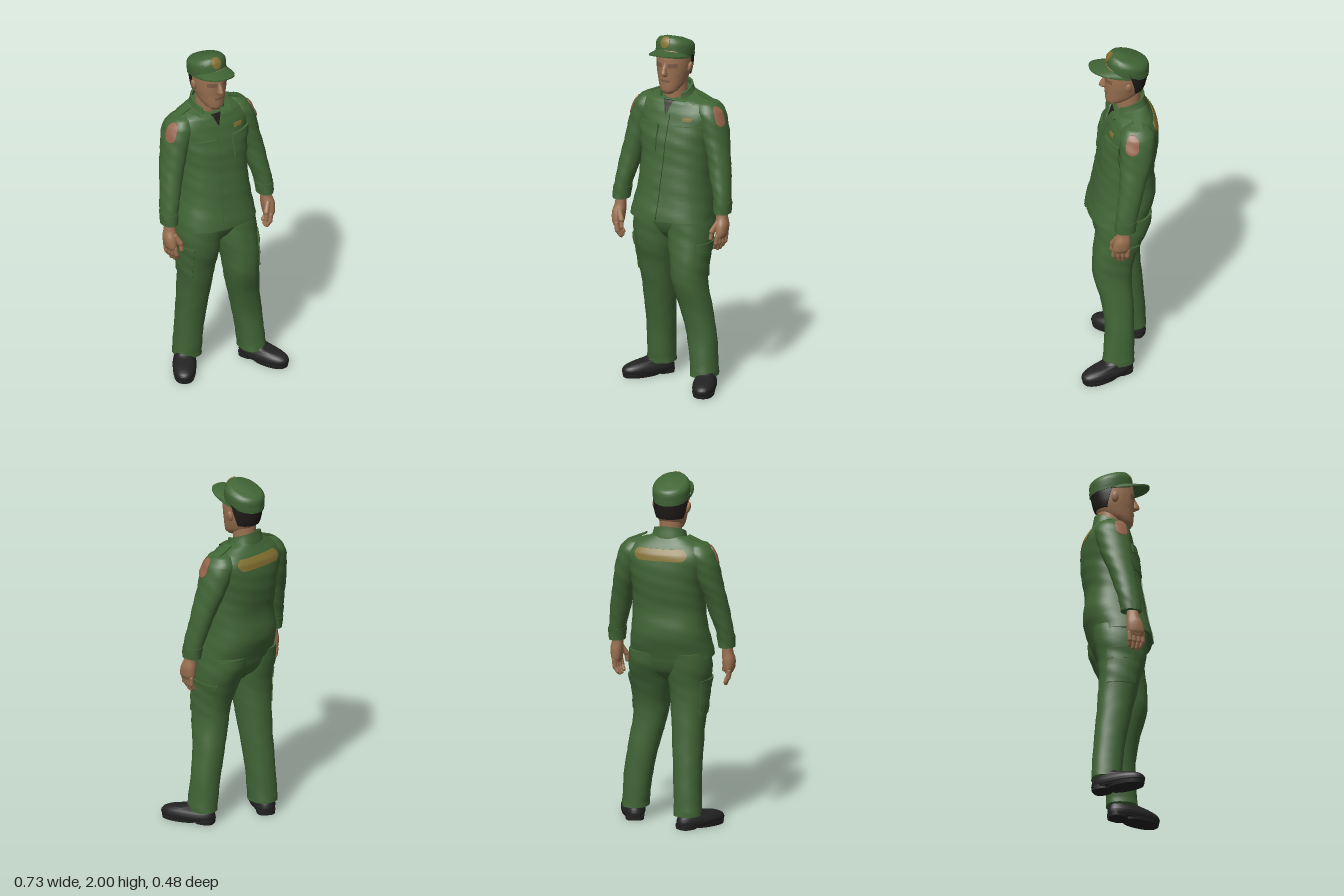
import * as THREE from 'three';
import { toCreasedNormals } from 'three/addons/utils/BufferGeometryUtils.js';

const mat = (name, color) => new THREE.MeshStandardMaterial({ name, color, side: THREE.DoubleSide });
const V = (x, y, z) => new THREE.Vector3(x, y, z);
const pow = (v, p) => Math.sign(v) * Math.abs(v) ** p;

// surface through rows of points; closed rows wrap round
function grid(rows, closed) {
  const n = rows[0].length, pos = [], idx = [];
  rows.forEach(r => r.forEach(p => pos.push(p.x, p.y, p.z)));
  for (let j = 0; j < rows.length - 1; j++)
    for (let i = 0; i < (closed ? n : n - 1); i++) {
      const a = j * n + i, b = j * n + (i + 1) % n;
      idx.push(a, b, b + n, a, b + n, a + n);
    }
  const g = new THREE.BufferGeometry();
  g.setAttribute('position', new THREE.Float32BufferAttribute(pos, 3));
  g.setIndex(idx);
  return toCreasedNormals(g, 0.9);
}

// body: rings of [y, cx, cz, rx, rz, tilt], p = squareness, w = fold depth
const body = (rings, p = 0.85, w = 0) => ({ rings, p, w });

// ring values at height y, smoothly interpolated
function ringAt({ rings }, y) {
  let i = 0;
  while (i < rings.length - 2 && y > rings[i + 1][0]) i++;
  const R = k => rings[Math.min(rings.length - 1, Math.max(0, k))];
  const t = (y - R(i)[0]) / (R(i + 1)[0] - R(i)[0]);
  return [1, 2, 3, 4, 5].map(c => {
    const [a, b, d, e] = [i - 1, i, i + 1, i + 2].map(k => R(k)[c] || 0);
    return b + 0.5 * t * (d - a + t * (2 * a - 5 * b + 4 * d - e + t * (3 * (b - d) + e - a)));
  });
}

// point on a body at height y and angle a (0 = front, +90 degrees = left)
function point(b, y, a, off = 0, k = 1) {
  const [cx, cz, rx, rz, tilt] = ringAt(b, y);
  const f = k * (1 + b.w * Math.sin(3 * a + y * 55) * Math.sin(y * 23 + a));
  const z = pow(Math.cos(a), b.p) * (rz * f + off);
  return V(cx + pow(Math.sin(a), b.p) * (rx * f + off), y + tilt * z, cz + z);
}

function loft(b, seg = 36, steps = 5) {
  const ys = [b.rings[0][0]];
  b.rings.slice(1).forEach((r, i) => {
    for (let s = 1; s <= steps; s++) ys.push(THREE.MathUtils.lerp(b.rings[i][0], r[0], s / steps));
  });
  const row = (y, k) => Array.from({ length: seg }, (_, i) => point(b, y, i / seg * Math.PI * 2, 0, k));
  return grid([row(ys[0], 0), ...ys.map(y => row(y, 1)), row(ys[ys.length - 1], 0)], true);
}

// raised pad following a body between angles lo(v), hi(v) and heights y0, y1
function pad(b, lo, hi, y0, y1, off, n = 16) {
  const get = (f, v, y) => typeof f === 'function' ? f(v, y) : f, rows = [];
  for (let j = -1; j <= n + 1; j++) {
    const v = Math.min(n, Math.max(0, j)) / n, y = y0 + (y1 - y0) * v, row = [];
    for (let i = -1; i <= n + 1; i++) {
      const u = Math.min(n, Math.max(0, i)) / n;
      const edge = i < 0 || j < 0 || i > n || j > n;
      row.push(point(b, y, THREE.MathUtils.lerp(get(lo, v, y), get(hi, v, y), u), edge ? -0.003 : off));
    }
    rows.push(row);
  }
  return grid(rows, false);
}

// angle at which the front (or back) of a body has a given x
const atX = (b, fx, back) => (v, y) => {
  const [cx, , rx] = ringAt(b, y), x = typeof fx === 'function' ? fx(v) : fx;
  const a = Math.asin(pow(THREE.MathUtils.clamp((x - cx) / rx, -1, 1), 1 / b.p));
  return back ? Math.PI - a : a;
};

export function createModel() {
  const model = new THREE.Group();
  const green = mat('uniform green', 0x416536), skin = mat('skin', 0x9a7151), black = mat('shoe black', 0x232324),
    hairMat = mat('hair', 0x1f1b19), gold = mat('gold', 0x847131), badge = mat('sleeve badge', 0x94644b),
    shade = mat('face shade', 0x7c5c46);
  const add = (name, geo, m, parent = model) => {
    const mesh = new THREE.Mesh(geo, m);
    mesh.name = name;
    parent.add(mesh);
    return mesh;
  };
  const capsule = (name, a, b, r, m) => {
    const mesh = add(name, new THREE.CapsuleGeometry(r, a.distanceTo(b), 5, 10), m);
    mesh.position.copy(a).lerp(b, 0.5);
    mesh.quaternion.setFromUnitVectors(V(0, 1, 0), b.clone().sub(a).normalize());
  };

  // jacket
  const jacket = body([
    [0.965, -0.007, -0.018, 0.236, 0.17], [1.1, -0.003, -0.051, 0.215, 0.177], [1.24, 0, -0.058, 0.202, 0.16],
    [1.34, 0, -0.072, 0.2, 0.158], [1.42, 0, -0.082, 0.207, 0.158], [1.5, 0, -0.094, 0.224, 0.148],
    [1.57, 0, -0.1, 0.236, 0.13], [1.62, -0.005, -0.097, 0.195, 0.107], [1.645, -0.01, -0.092, 0.14, 0.092, -0.12],
    [1.66, -0.012, -0.09, 0.085, 0.078, -0.35]], 0.82, 0.012);
  add('jacket', loft(jacket, 64, 6), green);
  const F = x => atX(jacket, x), B = x => atX(jacket, x, true);
  add('placket', pad(jacket, F(v => -0.055 + 0.03 * v), F(v => -0.02 + 0.03 * v), 0.967, 1.56, 0.007, 40), green);
  for (const [x0, x1] of [[-0.175, -0.055], [0.06, 0.185]]) {
    add('chestPocket', pad(jacket, F(x0), F(x1), 1.35, 1.46, 0.008), green);
    add('pocketFlap', pad(jacket, F(x0 - 0.004), F(x1 + 0.004), 1.445, 1.5, 0.013), green);
  }
  add('chestBadge', pad(jacket, F(0.085), F(0.135), 1.53, 1.55, 0.005), gold);
  add('backStripe', pad(jacket, B(v => 0.13 + 0.025 * Math.sin(v * Math.PI)),
    B(v => -0.12 - 0.025 * Math.sin(v * Math.PI)), 1.54, 1.605, 0.004, 24), gold);

  // collar, lapels and undershirt
  add('undershirt', pad(jacket, F(v => -0.012 - 0.032 * v), F(v => -0.012 + 0.032 * v), 1.565, 1.64, 0.004), hairMat);
  const collar = body([[1.61, -0.012, -0.09, 0.102, 0.088, -0.4], [1.69, -0.014, -0.088, 0.08, 0.077, -0.4]]);
  add('collar', pad(collar, 0.75, Math.PI * 2 - 0.75, 1.615, 1.69, 0.007, 28), green);
  for (const s of [-1, 1]) {
    const inner = v => -0.012 + s * 0.035 * v;
    const outer = v => inner(v) + s * (0.012 + 0.055 * Math.min(1, v * 1.8));
    add('lapel', pad(jacket, F(s > 0 ? inner : outer), F(s > 0 ? outer : inner), 1.55, 1.652, 0.012), green);
  }

  // sleeves, hands and shoulder details
  for (const s of [-1, 1]) {
    const sleeve = body([
      [1.02, 0.317, -0.005, 0.042, 0.054], [1.1, 0.311, -0.015, 0.047, 0.06], [1.2, 0.29, -0.035, 0.056, 0.066],
      [1.32, 0.265, -0.06, 0.062, 0.076], [1.42, 0.238, -0.08, 0.07, 0.089], [1.52, 0.212, -0.092, 0.077, 0.098],
      [1.58, 0.194, -0.096, 0.074, 0.093], [1.62, 0.176, -0.095, 0.056, 0.068], [1.637, 0.166, -0.093, 0.02, 0.025]
    ].map(([y, x, ...r]) => [y, s * x, ...r]), 0.95, 0.035);
    add('sleeve', loft(sleeve, 32, 7), green);
    add('cuff', pad(sleeve, 0, Math.PI * 2, 1.022, 1.09, 0.004, 28), green);
    const c = s * 1.15, half = v => 0.38 * Math.sqrt(Math.max(0.05, 1 - (2 * v - 1) ** 4));
    add('sleeveBadge', pad(sleeve, v => c - half(v), v => c + half(v), 1.505, 1.61, 0.004, 20), badge);
    const strap = add('epaulette', new THREE.BoxGeometry(0.11, 0.008, 0.045), green);
    strap.position.set(s * 0.172, 1.641, -0.1);
    strap.rotation.z = -s * 0.4;

    const dy = s < 0 ? -0.015 : 0;
    add('hand', loft(body([
      [0.885, s * 0.322, 0.02, 0.02, 0.042], [0.91, s * 0.325, 0.018, 0.029, 0.049], [0.96, s * 0.324, 0.012, 0.035, 0.046],
      [1.0, s * 0.319, 0.005, 0.031, 0.036], [1.06, s * 0.315, 0, 0.027, 0.032]].map(r => [r[0] + dy, ...r.slice(1)])), 20), skin);
    for (let i = 0; i < 4; i++) {
      const z = -0.018 + i * 0.025, drop = [0.012, 0, 0, 0.01][i];
      const a = V(s * (0.332 - 0.005 * i), 0.9 + dy, z), b = V(s * (0.328 - 0.006 * i), 0.86 + dy, z + 0.003);
      capsule('finger', a, b, 0.0135, skin);
      capsule('fingerTip', b, V(s * (0.312 - 0.005 * i), 0.823 + drop + dy, z * 0.85), 0.0115, skin);
    }
    capsule('thumb', V(s * 0.308, 0.97 + dy, 0.04), V(s * 0.285, 0.925 + dy, 0.06), 0.016, skin);
    capsule('thumbTip', V(s * 0.285, 0.925 + dy, 0.06), V(s * 0.28, 0.885 + dy, 0.066), 0.012, skin);
  }

  // trousers
  add('trouserSeat', loft(body([[0.83, 0, -0.03, 0.05, 0.065], [0.88, 0, -0.036, 0.15, 0.115],
    [0.94, 0, -0.037, 0.215, 0.142], [1.0, 0, -0.04, 0.22, 0.15]])), green);
  const legs = {
    right: body([
      [0.075, -0.125, -0.118, 0.077, 0.085], [0.12, -0.124, -0.115, 0.076, 0.085], [0.3, -0.118, -0.1, 0.078, 0.088],
      [0.55, -0.112, -0.065, 0.089, 0.102], [0.7, -0.112, -0.043, 0.102, 0.115], [0.8, -0.11, -0.03, 0.112, 0.13],
      [0.9, -0.112, -0.035, 0.121, 0.146], [1.0, -0.108, -0.04, 0.118, 0.15]], 0.88, 0.02),
    left: body([
      [0.075, 0.215, 0.015, 0.073, 0.09], [0.12, 0.212, 0.012, 0.074, 0.086], [0.3, 0.192, 0.005, 0.081, 0.081],
      [0.45, 0.163, 0.013, 0.087, 0.09], [0.6, 0.134, 0.033, 0.095, 0.106], [0.7, 0.126, 0.028, 0.1, 0.117],
      [0.82, 0.117, 0, 0.117, 0.131], [0.92, 0.112, -0.03, 0.122, 0.149], [1.0, 0.108, -0.04, 0.118, 0.15]], 0.88, 0.02)
  };
  for (const [side, leg] of Object.entries(legs)) {
    const [a, b] = side === 'left' ? [0.8, 2.25] : [-2.25, -0.8];
    add(side + 'TrouserLeg', loft(leg, 36), green);
    add(side + 'CargoPocket', pad(leg, a, b, 0.64, 0.8, 0.006), green);
    add(side + 'CargoFlap', pad(leg, a - 0.03, b + 0.03, 0.78, 0.84, 0.009), green);
  }

  // shoes
  for (const [name, x, z, yaw] of [['leftShoe', 0.252, 0.083, 0.38], ['rightShoe', -0.178, -0.06, -0.58]]) {
    const shoe = new THREE.Group();
    shoe.name = name;
    add('upper', loft(body([[0.012, 0, 0, 0.058, 0.152], [0.035, 0, 0.002, 0.066, 0.16], [0.058, 0, -0.002, 0.062, 0.152],
      [0.076, 0, -0.02, 0.053, 0.128], [0.092, 0, -0.065, 0.05, 0.083], [0.13, 0, -0.08, 0.043, 0.06]])), black, shoe);
    add('sole', loft(body([[0, 0, 0.045, 0.058, 0.108], [0.02, 0, 0.045, 0.063, 0.112]])), black, shoe);
    add('heel', loft(body([[0, 0, -0.1, 0.05, 0.052], [0.025, 0, -0.1, 0.053, 0.055]], 0.7)), black, shoe);
    shoe.position.set(x, 0, z);
    shoe.rotation.y = yaw;
    model.add(shoe);
  }

  // head
  const cx = -0.017;
  const head = body([
    [1.672, cx, 0.005, 0.026, 0.028], [1.69, cx, -0.01, 0.05, 0.054], [1.72, cx, -0.04, 0.068, 0.087],
    [1.76, cx, -0.056, 0.08, 0.104], [1.8, cx, -0.062, 0.089, 0.112], [1.86, cx, -0.066, 0.093, 0.118],
    [1.92, cx, -0.07, 0.088, 0.112], [1.95, cx, -0.07, 0.06, 0.08]], 0.95);
  add('head', loft(head, 40), skin);
  add('neck', loft(body([[1.6, cx, -0.085, 0.062, 0.065], [1.75, cx, -0.085, 0.062, 0.068]], 1)), skin);
  add('nose', loft(body([[1.776, cx, 0.045, 0.01, 0.012], [1.788, cx, 0.05, 0.017, 0.029], [1.803, cx, 0.05, 0.015, 0.03],
    [1.855, cx, 0.04, 0.009, 0.014]], 1), 16), skin);
  add('mouth', pad(head, atX(head, cx - 0.027), atX(head, cx + 0.027), 1.742, 1.756, 0.002), shade);
  for (const s of [-1, 1]) {
    const e = cx + s * 0.042;
    add('eye', pad(head, atX(head, e - 0.023), atX(head, e + 0.023), 1.828, 1.852, 0.001), shade);
    const ear = add('ear', new THREE.SphereGeometry(1, 14, 10), skin);
    ear.scale.set(0.013, 0.032, 0.02);
    ear.position.set(cx + s * 0.096, 1.815, -0.068);
    ear.rotation.z = -s * 0.2;
  }
  add('hair', pad(head, v => 2.05 - 0.45 * v, v => Math.PI * 2 - 2.05 + 0.45 * v, 1.762, 1.9, 0.008, 20), hairMat);

  // cap
  const cap = body([
    [1.868, -0.02, -0.078, 0.099, 0.118, 0.2], [1.9, -0.02, -0.08, 0.103, 0.118, 0.22], [1.938, -0.02, -0.084, 0.103, 0.115, 0.26],
    [1.962, -0.02, -0.088, 0.084, 0.1, 0.31], [1.976, -0.02, -0.082, 0.04, 0.062, 0.33]], 0.97);
  add('capCrown', loft(cap, 40), green);
  add('capBand', pad(cap, 0, Math.PI * 2, 1.87, 1.895, 0.002, 36), green);
  add('capEmblem', pad(cap, atX(cap, v => -0.025 - 0.027 * Math.sin(0.4 + v * 2.3)),
    atX(cap, v => -0.025 + 0.027 * Math.sin(0.4 + v * 2.3)), 1.91, 1.966, 0.005), gold);
  const brim = [];
  for (let i = 0; i <= 24; i++) {
    const a = (i / 24 - 0.5) * Math.PI, c = Math.max(0, Math.cos(a)), arch = c ** 0.8;
    brim.push([[0.1, 0], [0.212, 0], [0.212, -0.008], [0.1, -0.008]].map(([r, d]) =>
      V(-0.02 + 0.102 * pow(Math.sin(a), 0.8), 1.876 + 0.046 * c + d, -0.075 + r * arch)));
  }
  add('capBrim', grid(brim, true), green);
  return model;
}
